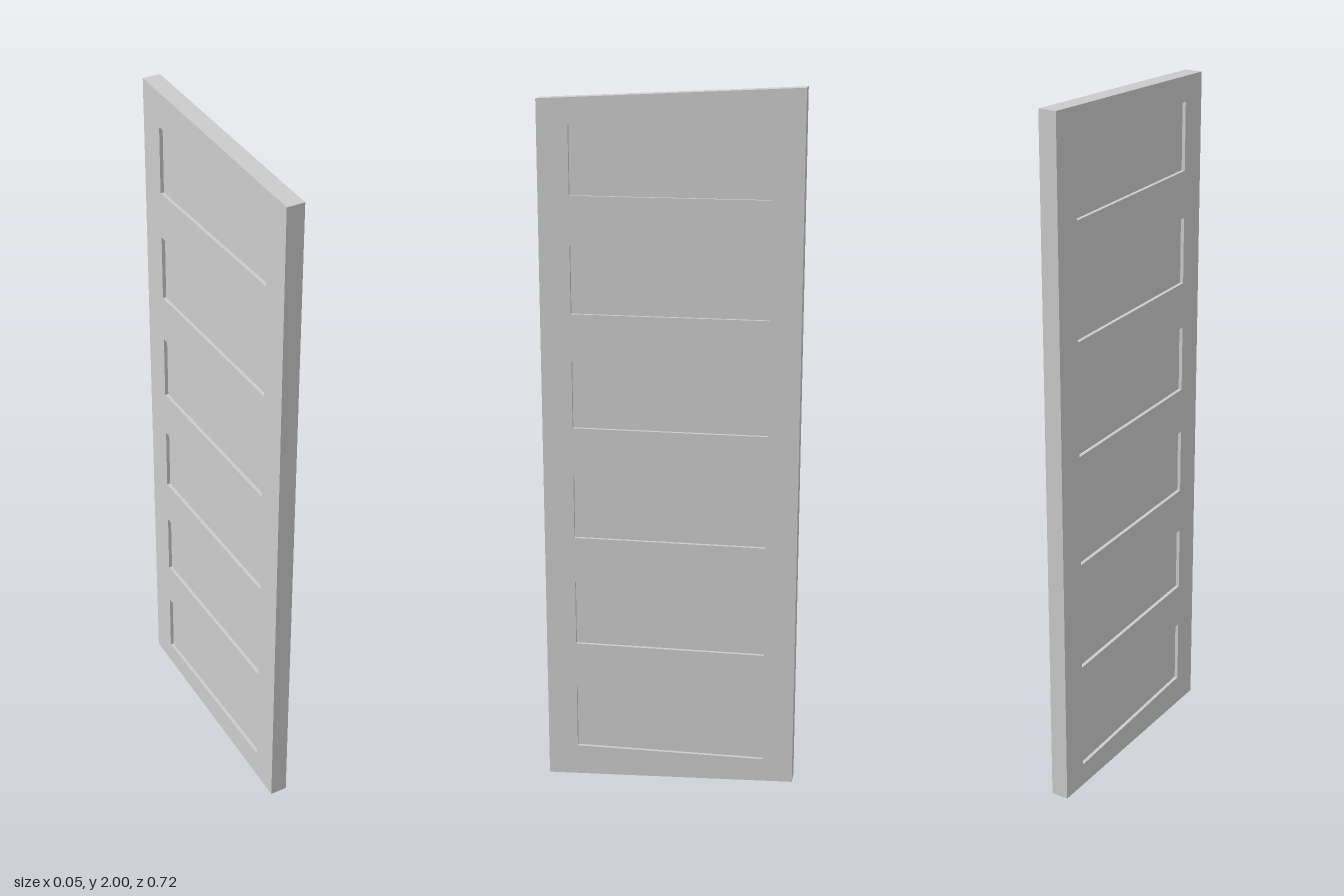
import * as THREE from 'three';

const THICK = 0.05, RECESS = 0.01;
const HALF = 0.359;                              // half of the door's width along z
const PANEL_W = 0.546, PANEL_H = 0.19;
const FIRST_Y = 0.188, PITCH = 0.323, COUNT = 6; // panel centres

export function createModel() {
  const group = new THREE.Group();
  group.name = 'panelDoor';
  const material = new THREE.MeshStandardMaterial({ color: 0xcccccc, flatShading: true });

  // Frame outline with sloping top and bottom, drawn as (z, y)
  const outline = new THREE.Shape([
    new THREE.Vector2(-HALF, 0.028),
    new THREE.Vector2(HALF, 0),
    new THREE.Vector2(HALF, 1.963),
    new THREE.Vector2(-HALF, 2),
  ]);

  const panelGeometry = new THREE.BoxGeometry(THICK - 2 * RECESS, PANEL_H, PANEL_W);
  for (let i = 0; i < COUNT; i++) {
    const y = FIRST_Y + i * PITCH, w = PANEL_W / 2, h = PANEL_H / 2;

    // Opening in the frame
    outline.holes.push(new THREE.Path([
      new THREE.Vector2(-w, y - h),
      new THREE.Vector2(-w, y + h),
      new THREE.Vector2(w, y + h),
      new THREE.Vector2(w, y - h),
    ]));

    // Panel recessed on both faces
    const panel = new THREE.Mesh(panelGeometry, material);
    panel.name = `recessedPanel${i + 1}`;
    panel.position.y = y;
    group.add(panel);
  }

  const frameGeometry = new THREE.ExtrudeGeometry(outline, { depth: THICK, bevelEnabled: false });
  frameGeometry.translate(0, 0, -THICK / 2);
  frameGeometry.rotateY(-Math.PI / 2);
  const frame = new THREE.Mesh(frameGeometry, material);
  frame.name = 'doorFrame';
  group.add(frame);

  return group;
}
